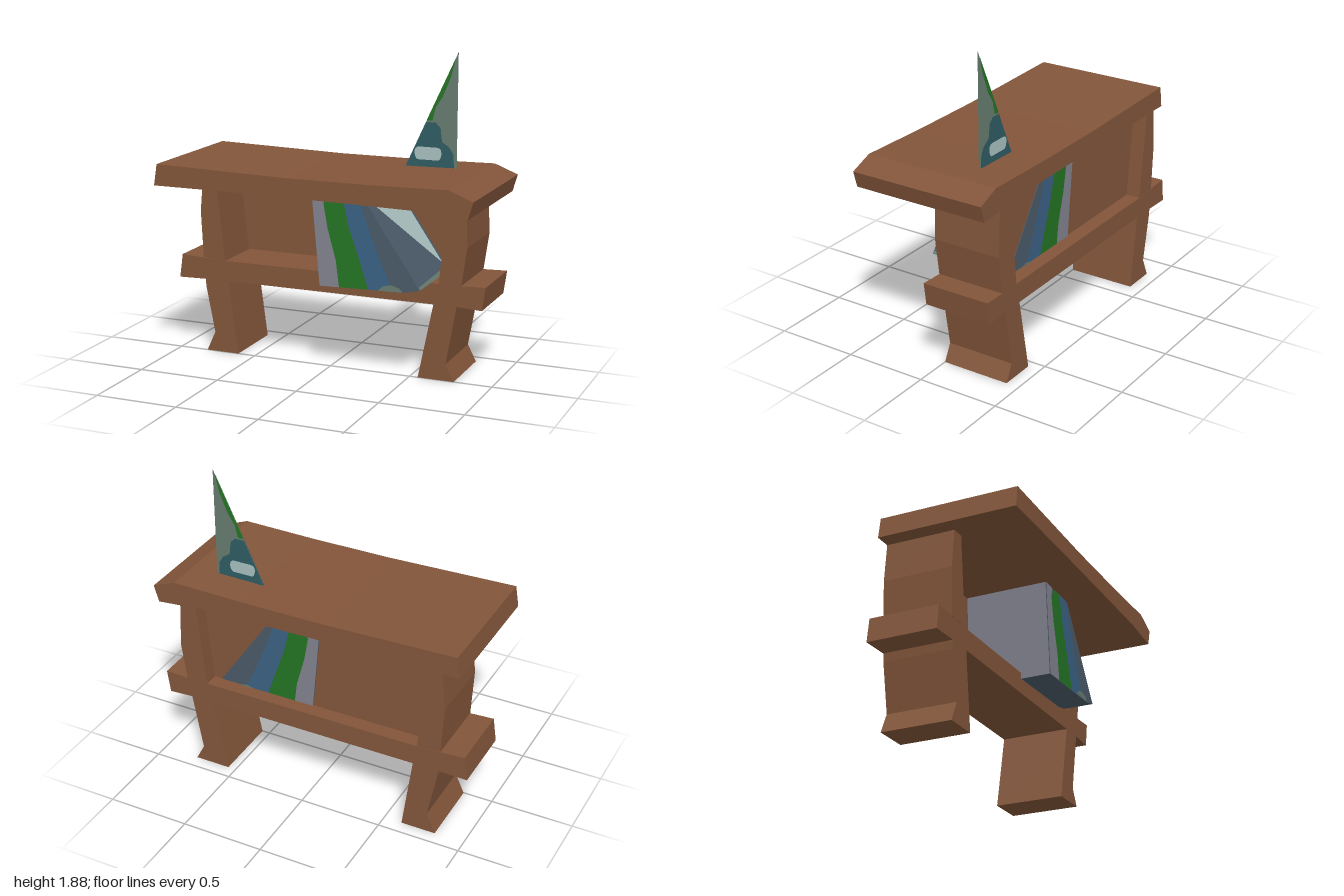
import * as THREE from 'three';

const mat = (name, color, side = THREE.FrontSide) => {
  const m = new THREE.MeshStandardMaterial({ color, side });
  m.name = name;
  return m;
};

export function createModel() {
  const group = new THREE.Group();
  const wood = mat('brown wood', 0x82553a, THREE.DoubleSide);
  const green = mat('green', 0x247324, THREE.DoubleSide);
  const lilac = mat('lilac grey', 0x82828f, THREE.DoubleSide);
  const blue = mat('blue', 0x3a6183, THREE.DoubleSide);
  const slate = mat('slate', 0x4a5a68, THREE.DoubleSide);
  const teal = mat('dark teal', 0x2f5c64, THREE.DoubleSide);
  const sage = mat('sage grey', 0x667c70, THREE.DoubleSide);
  const pale = mat('pale grey', 0xa8bfbf, THREE.DoubleSide);

  const add = (name, geo, material) => {
    const mesh = new THREE.Mesh(geo, material);
    mesh.name = name;
    group.add(mesh);
    return mesh;
  };
  const shapeOf = (pts) => new THREE.Shape(pts.map(([x, y]) => new THREE.Vector2(x, y)));

  // Solid with an XY outline running from z0 to z1
  const slab = (name, pts, z0, z1, material) => {
    const geo = new THREE.ExtrudeGeometry(shapeOf(pts), { depth: z1 - z0, bevelEnabled: false });
    geo.translate(0, 0, z0);
    return add(name, geo, material);
  };
  // Flat painted patch in the XY plane
  const patch = (name, shape, z, material) => {
    const geo = new THREE.ShapeGeometry(Array.isArray(shape) ? shapeOf(shape) : shape);
    geo.translate(0, 0, z);
    return add(name, geo, material);
  };
  // Flat polygon through free points in space
  const facet = (name, pts, material) => {
    const geo = new THREE.BufferGeometry();
    geo.setAttribute('position', new THREE.Float32BufferAttribute(pts.flat(), 3));
    geo.setIndex(pts.slice(2).flatMap((_, i) => [0, i + 1, i + 2]));
    geo.computeVertexNormals();
    return add(name, geo, material);
  };

  // Table top, wider than the frame and hanging over the front
  slab('tableTop', [
    [-0.93, 1.1], [-0.4, 1.1], [0.3, 1.092], [0.7, 1.085], [0.97, 1.06], [1, 1.16],
    [0.86, 1.215], [0.4, 1.207], [-0.1, 1.207], [-0.91, 1.227],
  ], -0.42, 0.42, wood);

  // Posts above the cross rail
  slab('rightPost', [[-0.835, 0.585], [-0.69, 0.575], [-0.75, 1.1], [-0.83, 1.1], [-0.85, 0.87]], -0.42, 0, wood);
  slab('leftPost', [[0.67, 0.575], [0.805, 0.575], [0.837, 0.8], [0.825, 1.078], [0.72, 1.085]], -0.42, 0, wood);

  // Cross rail with protruding ends
  slab('crossRail', [
    [-1, 0.445], [-0.8, 0.45], [0.78, 0.45], [0.93, 0.442], [0.95, 0.58],
    [0.8, 0.575], [-0.7, 0.575], [-0.98, 0.59],
  ], -0.42, 0, wood);

  // Legs with flared feet
  slab('rightLeg', [[-0.82, 0], [-0.61, 0], [-0.67, 0.45], [-0.825, 0.45], [-0.82, 0.4], [-0.765, 0.12]], -0.42, 0, wood);
  slab('leftLeg', [[0.55, 0], [0.77, 0], [0.718, 0.1], [0.78, 0.45], [0.64, 0.45]], -0.42, 0, wood);

  // Recessed panel between the posts
  patch('backPanel', [[-0.69, 0.575], [0.67, 0.575], [0.72, 1.09], [-0.75, 1.1]], -0.33, wood);

  // Slanted block leaning inside the frame
  slab('slantedBlock', [
    [0.01, 0.54], [0.53, 0.553], [0.62, 0.573], [0.26, 1.1], [-0.04, 1.1],
  ], -0.334, 0.18, slate);

  // Coloured bands on the front and back of the block
  const bands = [
    ['lilacBand', lilac, [[0.01, 0.54], [0.13, 0.543], [0.11, 0.7], [0.06, 0.88], [0.035, 1.02], [0.04, 1.1], [-0.04, 1.1]]],
    ['greenBand', green, [[0.13, 0.543], [0.31, 0.548], [0.25, 0.73], [0.19, 0.9], [0.155, 1.05], [0.13, 1.1],
      [0.06, 1.1], [0.035, 1.02], [0.06, 0.88], [0.11, 0.7]]],
    ['blueBand', blue, [[0.31, 0.548], [0.46, 0.552], [0.37, 0.75], [0.28, 0.98], [0.24, 1.1], [0.13, 1.1],
      [0.155, 1.05], [0.19, 0.9], [0.25, 0.73]]],
  ];
  const spot = [[0.37, 0.549], [0.52, 0.553], [0.5, 0.575], [0.45, 0.59], [0.4, 0.578]];
  for (const [side, z, out] of [['Front', 0.183, 1], ['Back', -0.337, -1]]) {
    for (const [name, material, pts] of bands) patch(name + side, pts, z, material);
    patch('sageSpot' + side, spot, z + out * 0.003, sage);
  }

  // Painted faces on the two sides of the block
  facet('blockRightFace', [[0.007, 0.54, 0.18], [-0.043, 1.1, 0.18], [-0.043, 1.1, -0.33], [0.007, 0.54, -0.33]], lilac);
  const onSlope = (y, z) => [0.264 + (1.1 - y) * 0.683, y, z];
  facet('paleCorner', [onSlope(1.1, 0.18), onSlope(0.62, -0.3), onSlope(1.1, -0.3)], pale);
  facet('sageHem', [onSlope(0.575, 0.18), onSlope(0.575, -0.3), onSlope(0.6, -0.3), onSlope(0.59, 0.18)], sage);

  // Thin triangular sail standing on the table top
  const sailZ = -0.2;
  patch('sail', [[0.387, 1.2], [0.7, 1.2], [0.7, 1.88]], sailZ, sage);
  const window = new THREE.Shape();
  window.moveTo(0.47, 1.25).lineTo(0.59, 1.25).quadraticCurveTo(0.615, 1.27, 0.605, 1.31);
  window.quadraticCurveTo(0.6, 1.325, 0.57, 1.325).lineTo(0.47, 1.325);
  window.quadraticCurveTo(0.44, 1.32, 0.445, 1.285).quadraticCurveTo(0.45, 1.25, 0.47, 1.25);
  for (const out of [-1, 1]) {
    patch('sailTealPatch', [
      [0.387, 1.2], [0.685, 1.2], [0.68, 1.29], [0.655, 1.33], [0.61, 1.36], [0.6, 1.44], [0.57, 1.47], [0.511, 1.47],
    ], sailZ + out * 0.003, teal);
    patch('sailGreenEdge', [[0.515, 1.48], [0.55, 1.48], [0.57, 1.56], [0.61, 1.62], [0.66, 1.74], [0.685, 1.846]],
      sailZ + out * 0.003, green);
    patch('sailPaleSpot', window, sailZ + out * 0.006, pale);
  }

  return group;
}
